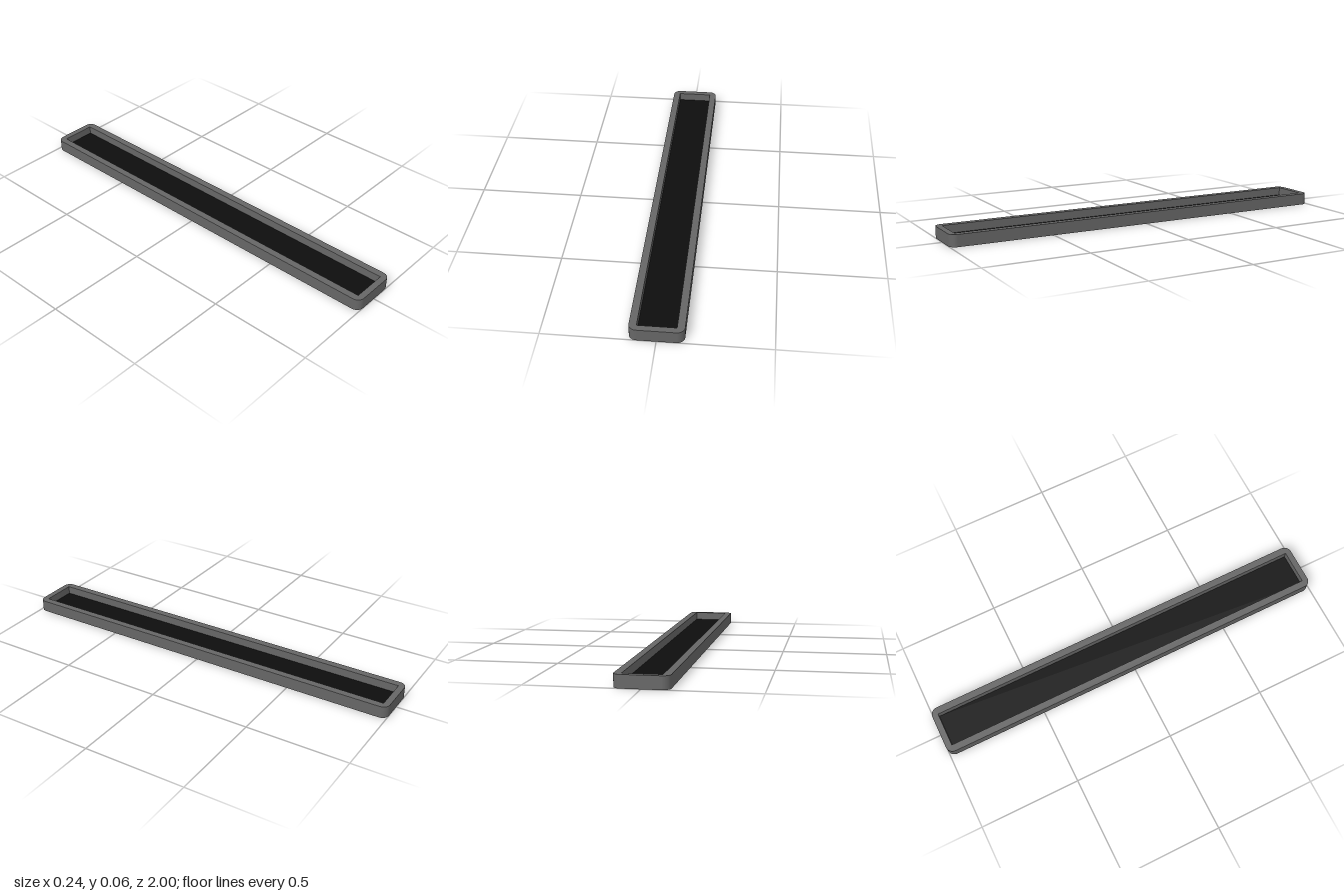
import * as THREE from 'three';

const HALF_W = 0.12, HALF_L = 1, HEIGHT = 0.058;
const INNER_W = 0.086, INNER_L = 0.97, CORNER = 0.035;

// Rounded outline, counter-clockwise
function roundedOutline(w, l, r) {
  const s = new THREE.Shape();
  s.moveTo(-w + r, -l);
  s.lineTo(w - r, -l);
  s.absarc(w - r, -l + r, r, -Math.PI / 2, 0);
  s.lineTo(w, l - r);
  s.absarc(w - r, l - r, r, 0, Math.PI / 2);
  s.lineTo(-w + r, l);
  s.absarc(-w + r, l - r, r, Math.PI / 2, Math.PI);
  s.lineTo(-w, -l + r);
  s.absarc(-w + r, -l + r, r, Math.PI, Math.PI * 1.5);
  return s;
}

export function createModel() {
  const group = new THREE.Group();
  group.name = 'tray';

  // Upright rim with rounded outer corners and a square-cornered opening
  const outline = roundedOutline(HALF_W, HALF_L, CORNER);
  outline.holes.push(new THREE.Path([
    new THREE.Vector2(-INNER_W, -INNER_L),
    new THREE.Vector2(-INNER_W, INNER_L),
    new THREE.Vector2(INNER_W, INNER_L),
    new THREE.Vector2(INNER_W, -INNER_L),
  ]));
  const rimGeometry = new THREE.ExtrudeGeometry(outline, {
    depth: HEIGHT, bevelEnabled: false, curveSegments: 6,
  });
  rimGeometry.rotateX(-Math.PI / 2);
  const rim = new THREE.Mesh(rimGeometry, new THREE.MeshStandardMaterial({ color: 0x666666 }));
  rim.name = 'rim';
  group.add(rim);

  // Dark floor panel, set slightly above the underside
  const bottom = 0.005, top = 0.018;
  const floor = new THREE.Mesh(
    new THREE.BoxGeometry(INNER_W * 2, top - bottom, INNER_L * 2),
    new THREE.MeshStandardMaterial({ color: 0x0d0d0d }),
  );
  floor.position.y = (top + bottom) / 2;
  floor.name = 'floorPanel';
  group.add(floor);

  return group;
}
